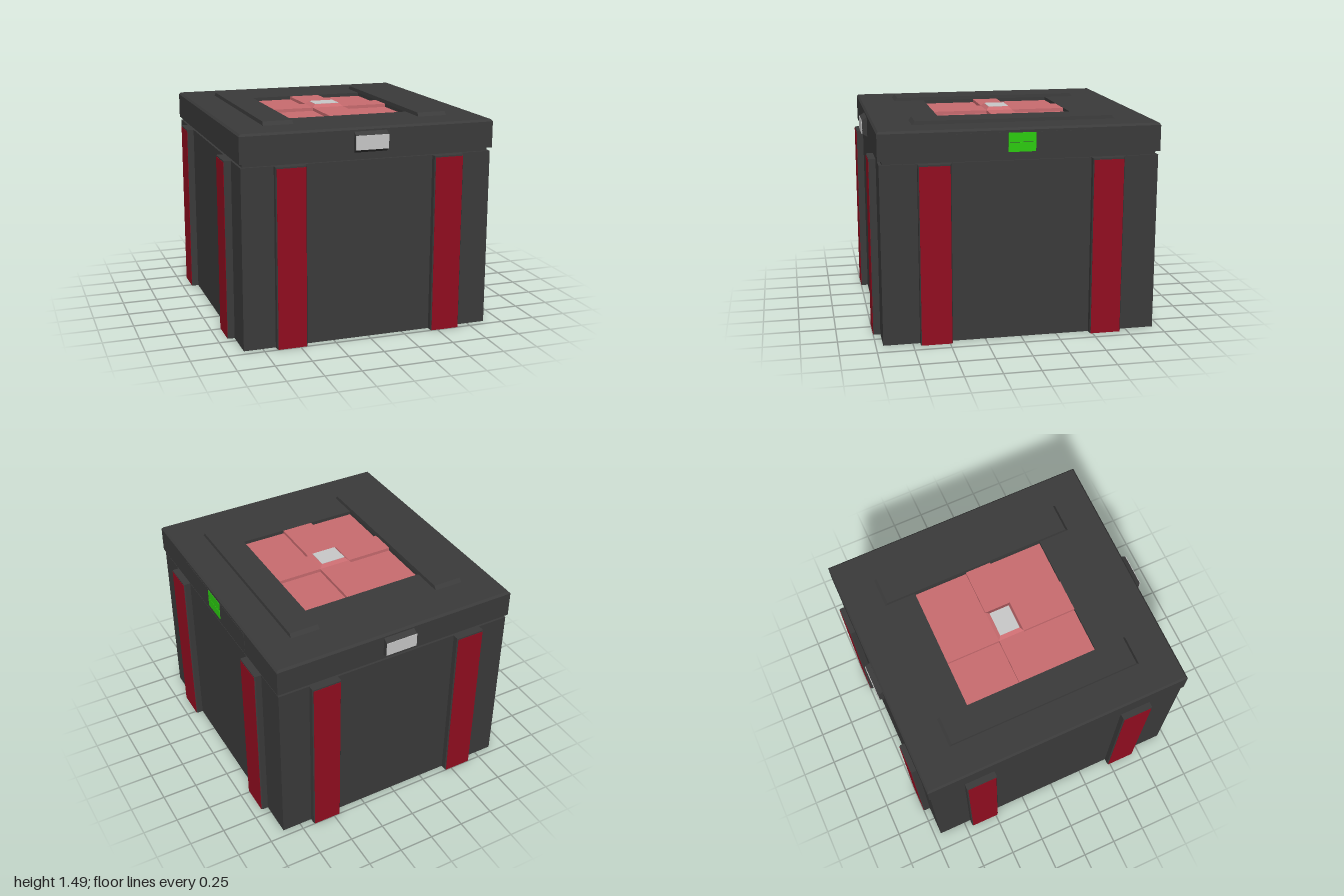
import * as THREE from 'three';

const mat = (name, color) => {
  const m = new THREE.MeshStandardMaterial({ color });
  m.name = name;
  return m;
};

export function createModel() {
  const group = new THREE.Group();
  const dark = mat('charcoal', 0x3b3b3b);
  const red = mat('deep red', 0x930d20);
  const pink = mat('soft red', 0xca6c70);
  const silver = mat('light grey', 0xcacaca);
  const green = mat('bright green', 0x2ccc10);

  const add = (name, geo, material, parent = group) => {
    const mesh = new THREE.Mesh(geo, material);
    mesh.name = name;
    parent.add(mesh);
    return mesh;
  };
  // box given by its lower and upper corner
  const box = (name, a, b, material, parent) => {
    const geo = new THREE.BoxGeometry(b[0] - a[0], b[1] - a[1], b[2] - a[2]);
    geo.translate((a[0] + b[0]) / 2, (a[1] + b[1]) / 2, (a[2] + b[2]) / 2);
    return add(name, geo, material, parent);
  };
  // box standing on z = 0 whose +z face shrinks to the given size
  const taperedBox = (w, h, d, topW, topH) => {
    const geo = new THREE.BoxGeometry(w, h, d).translate(0, 0, d / 2).toNonIndexed();
    const p = geo.attributes.position;
    for (let i = 0; i < p.count; i++) {
      if (p.getZ(i) > d / 2) p.setXY(i, p.getX(i) * topW / w, p.getY(i) * topH / h);
    }
    geo.computeVertexNormals();
    return geo;
  };

  // crate body, neck and lower lid
  box('body', [-0.88, 0, -0.95], [0.88, 1.24, 0.95], dark);
  box('neck', [-0.865, 1.24, -0.93], [0.865, 1.27, 0.93], dark);
  box('lidBase', [-0.89, 1.265, -0.96], [0.89, 1.43, 0.96], dark);

  // upper lid frame with a square opening and chamfered outer top edge
  const rect = (C, x, z) => {
    const s = new C();
    s.moveTo(-x, -z).lineTo(x, -z).lineTo(x, z).lineTo(-x, z).closePath();
    return s;
  };
  const frame = rect(THREE.Shape, 0.89, 0.96);
  frame.holes.push(rect(THREE.Path, 0.45, 0.48));
  const frameGeo = new THREE.ExtrudeGeometry(frame, { depth: 0.03, steps: 2, bevelEnabled: false });
  const fp = frameGeo.attributes.position;
  for (let i = 0; i < fp.count; i++) {
    if (fp.getZ(i) > 0.025 && Math.abs(fp.getX(i)) > 0.8) {
      fp.setX(i, fp.getX(i) - Math.sign(fp.getX(i)) * 0.012);
      fp.setY(i, fp.getY(i) - Math.sign(fp.getY(i)) * 0.012);
    }
  }
  frameGeo.computeVertexNormals();
  frameGeo.rotateX(-Math.PI / 2).translate(0, 1.43, 0);
  add('lidFrame', frameGeo, dark);

  // vertical straps: chamfered dark rib with a red face
  const strap = (x, z, angle, width) => {
    const g = new THREE.Group();
    g.name = 'sideStrap';
    const w = width / 2, c = 0.006;
    const s = new THREE.Shape();
    s.moveTo(-w, 0.01).lineTo(w, 0.01).lineTo(w, -0.04).lineTo(w - c, -0.048)
      .lineTo(c - w, -0.048).lineTo(-w, -0.04).closePath();
    const rib = new THREE.ExtrudeGeometry(s, { depth: 1.24, bevelEnabled: false });
    add('strapRib', rib.rotateX(-Math.PI / 2), dark, g);
    box('strapFace', [c - w, 0, 0.046], [w - c, 1.23, 0.05], red, g);
    g.position.set(x, 0, z);
    g.rotation.y = angle;
    group.add(g);
  };
  for (const s of [-1, 1]) {
    for (const t of [-1, 1]) {
      strap(s * 0.555, t * 0.95, t > 0 ? 0 : Math.PI, 0.21);
      strap(s * 0.88, t * 0.59, s * Math.PI / 2, 0.22);
    }

    // straps on the lid, sloped at both ends
    const lidStrap = add('lidStrap', taperedBox(0.21, 1.405, 0.025, 0.205, 1.365), dark);
    lidStrap.rotation.x = -Math.PI / 2;
    lidStrap.position.set(s * 0.555, 1.46, 0);

    // latches on the front and back of the lid
    const latch = new THREE.Group();
    latch.name = 'latch';
    add('latchBase', taperedBox(0.23, 0.14, 0.036, 0.23, 0.096), dark, latch);
    box('latchPlate', [-0.115, -0.048, 0.034], [0.115, 0.048, 0.04], silver, latch);
    latch.position.set(0, 1.364, s * 0.96);
    latch.rotation.y = s > 0 ? 0 : Math.PI;
    group.add(latch);
  }

  // recessed top panel with a raised cross
  box('topPanel', [-0.45, 1.43, -0.48], [0.45, 1.435, 0.48], pink);
  box('crossLong', [-0.115, 1.43, -0.48], [0.115, 1.458, 0.48], pink);
  for (const s of [-1, 1]) {
    const a = s > 0 ? 0.115 : -0.45;
    box('crossArm', [a, 1.43, -0.093], [a + 0.335, 1.458, 0.093], pink);
  }
  const button = add('buttonBase', taperedBox(0.23, 0.186, 0.022, 0.18, 0.146), pink);
  button.rotation.x = -Math.PI / 2;
  button.position.y = 1.458;
  box('buttonTop', [-0.09, 1.479, -0.073], [0.09, 1.482, 0.073], silver);

  // status panel and light on the left side of the lid
  box('lightPanel', [0.885, 1.295, -0.48], [0.892, 1.43, 0.48], dark);
  for (const y of [1.299, 1.365]) {
    box('light', [0.888, y, -0.093], [0.895, y + 0.063, 0.093], green);
  }
  return group;
}
